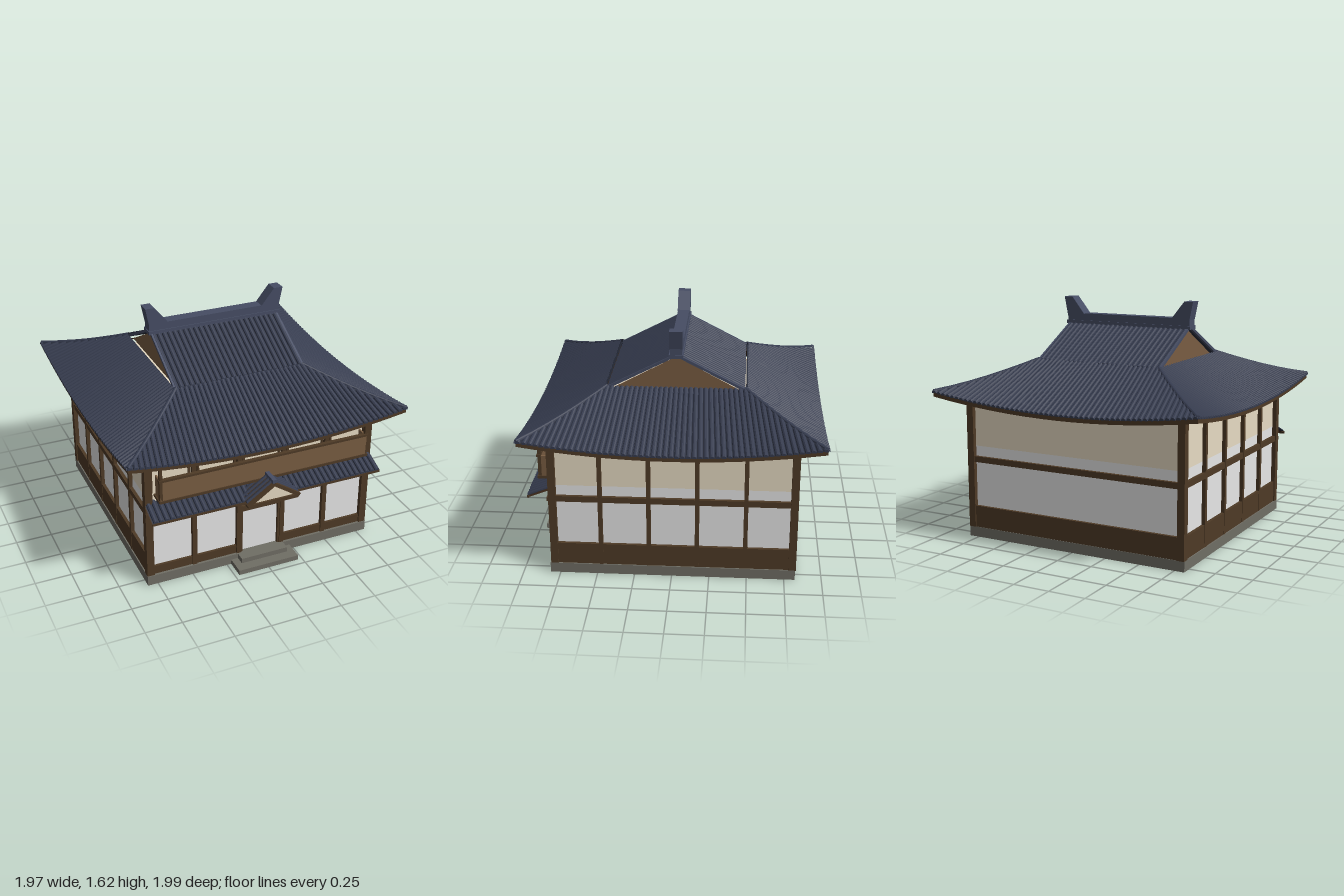
import * as THREE from 'three';
import { mergeGeometries } from 'three/addons/utils/BufferGeometryUtils.js';

const mat = (name, color, side = THREE.FrontSide) => {
  const m = new THREE.MeshStandardMaterial({ color, side });
  m.name = name;
  return m;
};

export function createModel() {
  const tile = mat('roof tile', 0x353b4e, THREE.DoubleSide);
  const pan = mat('dark pan tile', 0x292e3c, THREE.DoubleSide);
  const ridgeMat = mat('ridge slate', 0x464d64);
  const wood = mat('dark wood', 0x4e3a26);
  const eaveWood = mat('eave wood', 0x3e2a1a, THREE.DoubleSide);
  const board = mat('brown board', 0x795d42, THREE.DoubleSide);
  const plaster = mat('cream plaster', 0xe8dcc4);
  const paper = mat('white paper', 0xf0f0f0);
  const stone = mat('foundation stone', 0x706e65);

  const root = new THREE.Group();
  root.name = 'tiledHouse';
  const add = (name, geo, m) => {
    const mesh = new THREE.Mesh(geo, m);
    mesh.name = name;
    root.add(mesh);
    return mesh;
  };
  // box given by its min and max on each axis
  const box = (name, x0, x1, y0, y1, z0, z1, m) => {
    const mesh = add(name, new THREE.BoxGeometry(x1 - x0, y1 - y0, z1 - z0), m);
    mesh.position.set((x0 + x1) / 2, (y0 + y1) / 2, (z0 + z1) / 2);
    return mesh;
  };
  // flat-shaded parametric sheet, f(u, v) -> [x, y, z]
  const sheet = (f, nu, nv) => {
    const p = [];
    for (let i = 0; i < nu; i++) for (let j = 0; j < nv; j++) {
      const a = f(i / nu, j / nv), b = f((i + 1) / nu, j / nv);
      const c = f((i + 1) / nu, (j + 1) / nv), d = f(i / nu, (j + 1) / nv);
      p.push(...a, ...b, ...c, ...a, ...c, ...d);
    }
    const g = new THREE.BufferGeometry();
    g.setAttribute('position', new THREE.Float32BufferAttribute(p, 3));
    g.computeVertexNormals();
    return g;
  };
  // half-round tile row along a path, closed at its lower end
  const roll = (path, r, side, n = 4) => sheet((u, v) => {
    const k = Math.round(u * (n + 1));
    const p = path(Math.max(0, k - 1) / n), rr = k === 0 ? 0 : r, a = v * Math.PI;
    return [p[0] + side[0] * rr * Math.cos(a), p[1] + rr * Math.sin(a), p[2] + side[2] * rr * Math.cos(a)];
  }, n + 1, 5);
  const fourSides = (g) => mergeGeometries([0, 1, 2, 3].map((k) => g.clone().rotateY(k * Math.PI / 2)));

  // foundation and entrance steps
  box('foundation', -0.82, 0.82, 0, 0.07, -0.815, 0.825, stone);
  box('upperStep', -0.17, 0.17, 0, 0.07, 0.82, 0.89, stone);
  box('lowerStep', -0.22, 0.22, 0, 0.035, 0.82, 0.96, stone);

  // wall core
  box('lowerWalls', -0.79, 0.79, 0.07, 0.64, -0.79, 0.79, paper);
  box('upperWalls', -0.79, 0.79, 0.64, 0.985, -0.79, 0.79, plaster);

  // corner and wall posts
  const bays = [-0.48, -0.16, 0.16, 0.48];
  for (const x of [-0.795, 0.795]) for (const z of [-0.795, 0.795])
    box('cornerPost', x - 0.025, x + 0.025, 0.07, 0.985, z - 0.025, z + 0.025, wood);
  for (const s of [-1, 1]) {
    const x0 = s * 0.8, a = Math.min(x0 - 0.015, x0 + 0.015), b = a + 0.03;
    for (const z of bays) box('sidePost', a, b, 0.07, 0.98, z - 0.014, z + 0.014, wood);
    box('sideKickBoard', x0 - 0.012, x0 + 0.012, 0.07, 0.22, -0.79, 0.79, wood);
    box('sideBeam', x0 - 0.013, x0 + 0.013, 0.53, 0.57, -0.79, 0.79, wood);
  }
  box('backKickBoard', -0.79, 0.79, 0.07, 0.22, -0.812, -0.788, wood);
  box('backBeam', -0.79, 0.79, 0.53, 0.57, -0.813, -0.787, wood);

  // front ground floor
  for (const x of bays) box('frontPost', x - 0.016, x + 0.016, 0.07, 0.96, 0.78, 0.817, wood);
  for (const s of [-1, 1]) {
    const a = s > 0 ? 0.16 : -0.79, b = a + 0.63;
    box('frontKickBoard', a, b, 0.07, 0.13, 0.78, 0.808, wood);
    box('frontBeam', a, b, 0.455, 0.49, 0.78, 0.81, wood);
    box('doorJamb', s * 0.138 - 0.008, s * 0.138 + 0.008, 0.07, 0.44, 0.78, 0.81, wood);
  }
  box('transom', -0.79, 0.79, 0.45, 0.64, 0.785, 0.796, plaster);
  box('doorLintel', -0.15, 0.15, 0.395, 0.435, 0.78, 0.812, wood);
  box('canopyBeam', -0.82, 0.82, 0.535, 0.56, 0.78, 0.83, wood);

  // balcony and upper windows
  box('balconyPanel', -0.74, 0.74, 0.68, 0.825, 0.875, 0.89, board);
  box('balconyTopRail', -0.75, 0.75, 0.82, 0.835, 0.87, 0.897, wood);
  box('balconySill', -0.75, 0.75, 0.665, 0.682, 0.79, 0.897, wood);
  for (const s of [-1, 1]) {
    box('balconyEnd', s * 0.735 - 0.006, s * 0.735 + 0.006, 0.68, 0.825, 0.8, 0.885, board);
    box('balconyPost', s * 0.735 - 0.01, s * 0.735 + 0.01, 0.68, 0.965, 0.868, 0.89, wood);
  }
  for (const y of [0.9, 0.945]) box('upperRail', -0.79, 0.79, y, y + 0.016, 0.785, 0.81, wood);
  for (const x of [-0.64, -0.32, 0, 0.32, 0.64]) for (const s of [-1, 1])
    box('windowStile', x + s * 0.128 - 0.006, x + s * 0.128 + 0.006, 0.7, 0.9, 0.785, 0.806, wood);

  // hipped lower roof with upswept corners
  const E = 0.975, D = 0.515;
  const roofY = (x, t) => 0.945 + 0.265 * t + 0.075 * (x / E) ** 2 * (1 - t);
  const slope = (dy) => (u, t) => {
    const r = E - D * t, x = (2 * u - 1) * r;
    return [x, roofY(x, t) + dy, r];
  };
  add('lowerRoof', fourSides(sheet(slope(0), 16, 5)), pan);
  add('eaveSoffit', fourSides(sheet(slope(-0.028), 16, 5)), eaveWood);
  add('eaveFascia', fourSides(sheet((u, v) => {
    const p = slope(0)(u, 0);
    return [p[0], p[1] - 0.028 * (1 - v), p[2]];
  }, 16, 1)), wood);
  const rows = [];
  for (let i = -26; i <= 26; i++) {
    const x0 = i * 0.037, end = Math.min(1, (E - Math.abs(x0)) / (D - 0.12 * Math.abs(x0)));
    rows.push(roll((s) => {
      const t = s * end, x = x0 * (1 - 0.12 * t);
      return [x, roofY(x, t), E + 0.01 - D * t];
    }, 0.0165, [1, 0, 0]));
  }
  rows.push(roll((t) => {
    const r = E - D * t;
    return [r, roofY(r, t) + 0.008, r];
  }, 0.014, [0.7, 0, -0.7], 6));
  add('lowerRoofTiles', fourSides(mergeGeometries(rows)), tile);

  // gabled upper roof
  const upper = (s) => [0, 1.205 + 0.235 * s, 0.455 * (1 - s)];
  const upperRows = [];
  for (let i = -12; i <= 12; i++)
    upperRows.push(roll((s) => { const p = upper(s); return [i * 0.0375, p[1], p[2]]; }, 0.0165, [1, 0, 0], 1));
  const upperPan = sheet((u, v) => { const p = upper(v); return [(2 * u - 1) * 0.465, p[1], p[2]]; }, 1, 1);
  const bothSides = (g) => mergeGeometries([g, g.clone().rotateY(Math.PI)]);
  add('upperRoof', bothSides(upperPan), pan);
  add('upperRoofTiles', bothSides(mergeGeometries(upperRows)), tile);
  const gable = new THREE.Shape([[-0.42, 1.2], [0.42, 1.2], [0, 1.425]].map((p) => new THREE.Vector2(...p)));
  for (const s of [-1, 1]) {
    const g = add('gablePanel', new THREE.ShapeGeometry(gable), board);
    g.rotation.y = s * Math.PI / 2;
    g.position.x = s * 0.44;
    for (const k of [-1, 1]) {
      const b = box('bargeTrim', -0.01, 0.01, -0.009, 0.009, -0.256, 0.256, ridgeMat);
      b.position.set(s * 0.46, 1.327, k * 0.227);
      b.rotation.x = k * Math.atan2(0.235, 0.455);
    }
  }

  // main ridge and its flared ends
  box('ridgeBase', -0.485, 0.485, 1.425, 1.45, -0.047, 0.047, ridgeMat);
  box('ridgeCap', -0.48, 0.48, 1.45, 1.5, -0.04, 0.04, ridgeMat);
  const horn = new THREE.Shape([[0.48, 1.49], [0.505, 1.615], [0.44, 1.615], [0.34, 1.49]].map((p) => new THREE.Vector2(...p)));
  for (const s of [0, 1]) {
    const g = new THREE.ExtrudeGeometry(horn, { depth: 0.088, bevelEnabled: false }).translate(0, 0, -0.044);
    add('ridgeHorn', g, ridgeMat).rotation.y = s * Math.PI;
  }

  // tiled canopy over the front
  const canopy = (s) => [0, 0.572 + 0.062 * s, 0.955 - 0.155 * s];
  const canopySheet = (dy) => sheet((u, v) => { const p = canopy(v); return [(2 * u - 1) * 0.82, p[1] + dy, p[2]]; }, 1, 1);
  add('canopyRoof', canopySheet(0), pan);
  add('canopySoffit', canopySheet(-0.015), eaveWood);
  box('canopyFascia', -0.82, 0.82, 0.555, 0.572, 0.945, 0.957, wood);
  const canopyRows = [];
  for (let i = -21; i <= 21; i++)
    canopyRows.push(roll((s) => { const p = canopy(s); return [i * 0.038, p[1], p[2]]; }, 0.0155, [1, 0, 0], 1));
  add('canopyTiles', mergeGeometries(canopyRows), tile);

  // small gable above the entrance
  const porchRows = [];
  for (const s of [-1, 1]) {
    const path = (z) => (t) => [s * 0.185 * (1 - t), 0.575 + 0.125 * t, z];
    for (let z = 0.83; z < 1; z += 0.036) porchRows.push(roll(path(z), 0.015, [0, 0, -s], 1));
    const b = box('porchRake', -0.112, 0.112, -0.012, 0.012, 0.83, 1.008, wood);
    b.position.x = s * 0.0925;
    b.position.y = 0.627;
    b.rotation.z = -s * Math.atan2(0.125, 0.185);
    box('porchBracket', s * 0.16 - 0.014, s * 0.16 + 0.014, 0.53, 0.56, 0.8, 0.94, wood);
  }
  add('porchTiles', mergeGeometries(porchRows), tile);
  box('porchRidge', -0.014, 0.014, 0.692, 0.722, 0.81, 1.005, ridgeMat);
  const pediment = new THREE.Shape([[-0.16, 0.56], [0.16, 0.56], [0, 0.675]].map((p) => new THREE.Vector2(...p)));
  add('porchPediment', new THREE.ShapeGeometry(pediment), plaster).position.z = 0.985;
  box('porchBeam', -0.18, 0.18, 0.543, 0.567, 0.96, 1.0, wood);

  root.position.z = -0.008;
  const model = new THREE.Group();
  model.name = 'house';
  model.add(root);
  return model;
}
